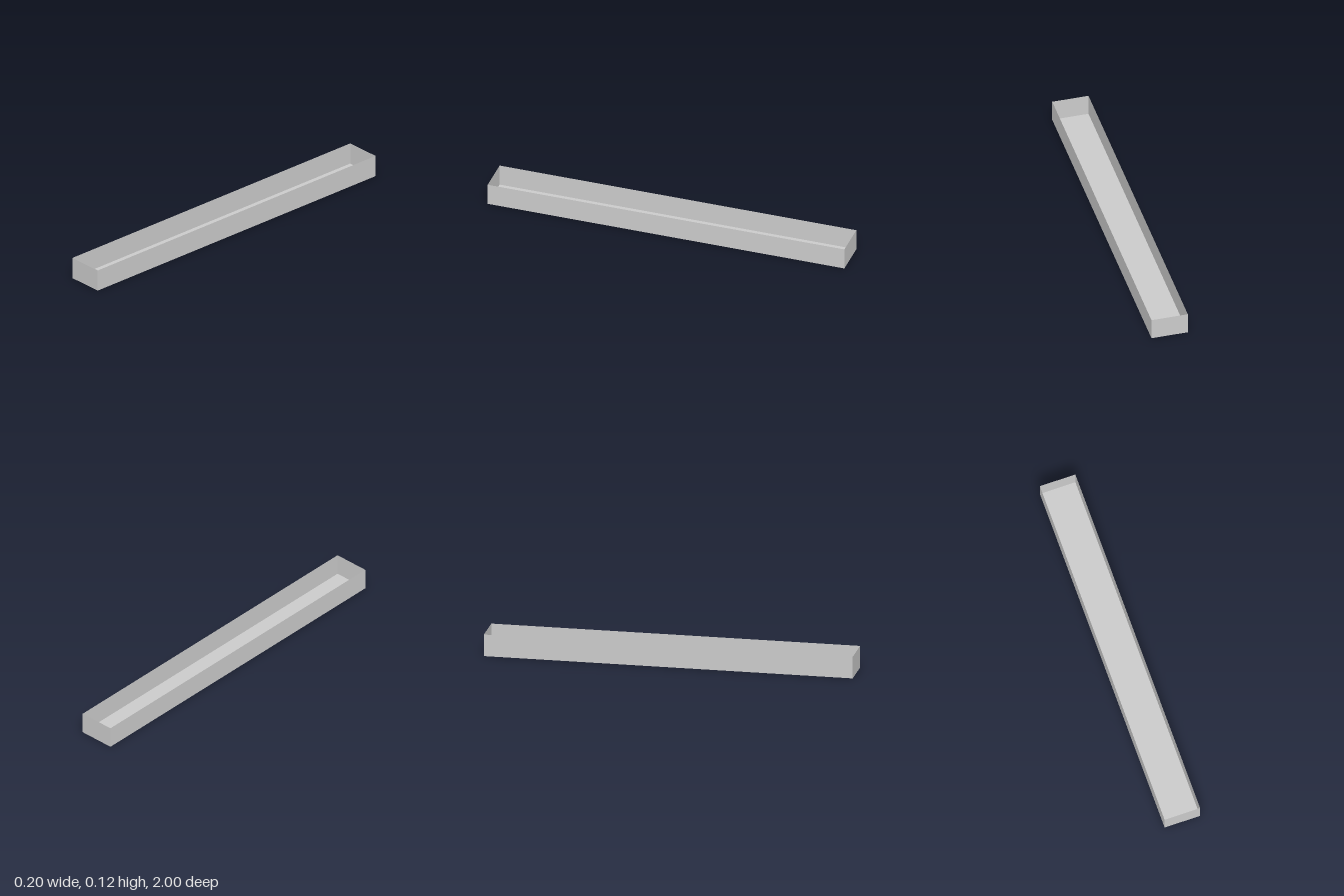
import * as THREE from 'three';

const WIDTH = 0.2, HEIGHT = 0.12, LENGTH = 2;

export function createModel() {
  const model = new THREE.Group();
  model.name = 'openTrough';
  const material = new THREE.MeshStandardMaterial({ color: 0xcccccc, side: THREE.DoubleSide });

  const addPanel = (name, w, h, position, rotation) => {
    const panel = new THREE.Mesh(new THREE.PlaneGeometry(w, h), material);
    panel.name = name;
    panel.position.set(...position);
    panel.rotation.set(...rotation);
    model.add(panel);
  };

  // Thin floor sheet
  addPanel('floor', WIDTH, LENGTH, [0, 0, 0], [Math.PI / 2, 0, 0]);

  // Thin side and end walls, mirrored in pairs and facing outwards
  for (const s of [1, -1]) {
    addPanel(s > 0 ? 'leftWall' : 'rightWall', LENGTH, HEIGHT,
      [s * WIDTH / 2, HEIGHT / 2, 0], [0, s * Math.PI / 2, 0]);
    addPanel(s > 0 ? 'frontWall' : 'backWall', WIDTH, HEIGHT,
      [0, HEIGHT / 2, s * LENGTH / 2], [0, s > 0 ? 0 : Math.PI, 0]);
  }

  // Flat plate lying on the middle of the floor
  addPanel('floorPlate', 0.1, 0.16, [0, 0.0006, 0], [-Math.PI / 2, 0, 0]);

  return model;
}
